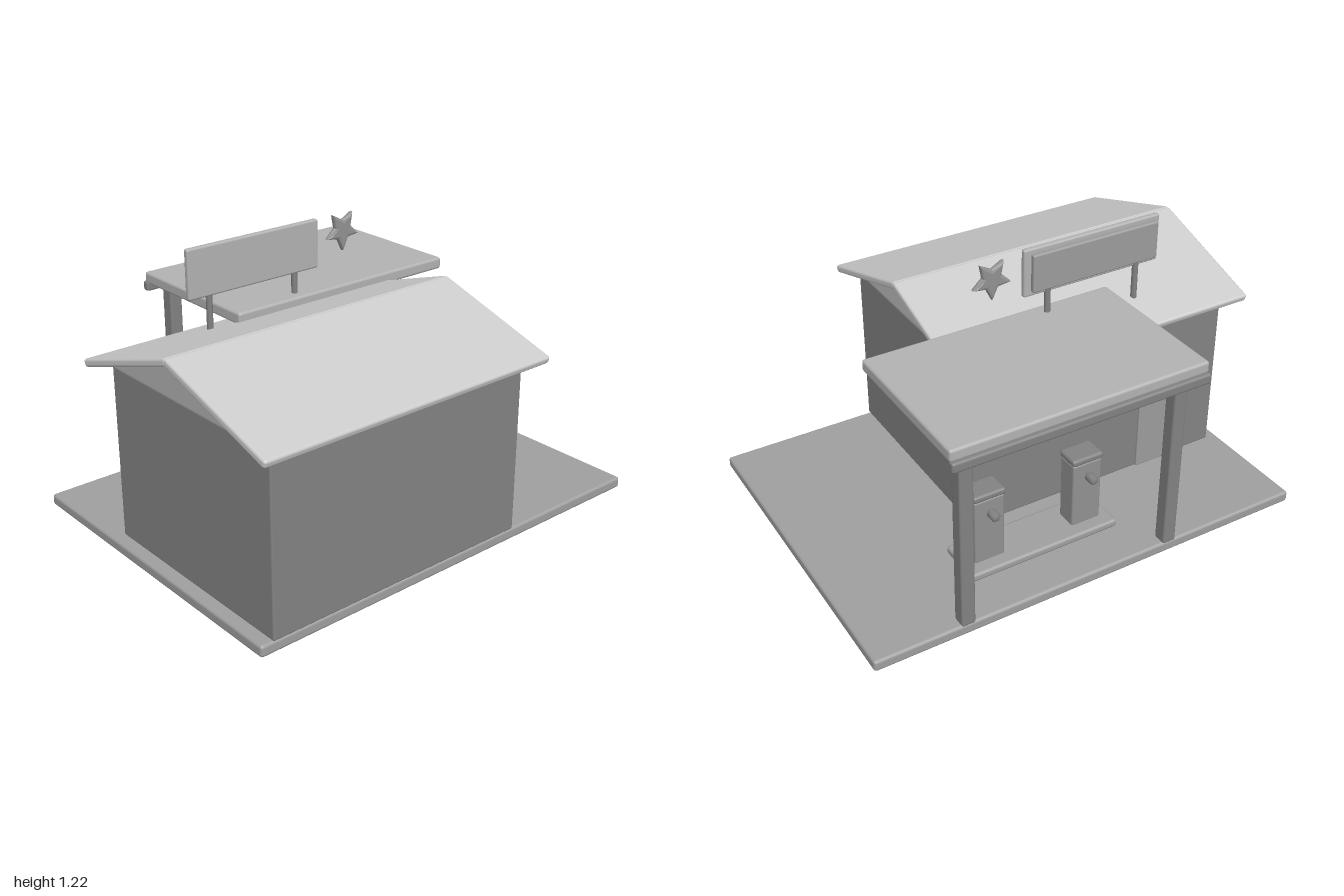
import * as THREE from 'three';
import { RoundedBoxGeometry } from 'three/addons/geometries/RoundedBoxGeometry.js';

const paint = (color) => new THREE.MeshStandardMaterial({ color });
const concrete = paint(0x9f9f9f);
const wall = paint(0x838383);
const roofing = paint(0xbcbcbc);
const canopyPaint = paint(0xb2b2b2);
const steel = paint(0x828282);
const joinery = paint(0x9c9c9c);
const pumpPaint = paint(0x929292);
const signPaint = paint(0xb2b2b2);

export function createModel() {
  const model = new THREE.Group();
  model.name = 'fuelStation';

  function add(name, material, geometry, x = 0, y = 0, z = 0) {
    const mesh = new THREE.Mesh(geometry, material);
    mesh.name = name;
    mesh.position.set(x, y, z);
    model.add(mesh);
    return mesh;
  }

  // Soft-edged box given by its extents on each axis
  function block(name, material, [x0, x1], [y0, y1], [z0, z1], bevel = 0.01) {
    const w = x1 - x0, h = y1 - y0, d = z1 - z0;
    const r = Math.min(bevel, Math.min(w, h, d) * 0.4);
    return add(name, material, new RoundedBoxGeometry(w, h, d, 2, r), (x0 + x1) / 2, (y0 + y1) / 2, (z0 + z1) / 2);
  }

  // Ground slab and building
  block('groundSlab', concrete, [-0.975, 1], [0, 0.05], [-0.745, 0.73], 0.013);
  block('building', wall, [-0.922, 0.305], [0.05, 0.79], [-0.25, 0.733], 0.008);

  // Two roof slopes meeting at the ridge, open at the gables
  const ridge = { y: 0.975, z: 0.24 }, run = 0.56, drop = 0.178;
  const slope = Math.atan2(drop, run), length = Math.hypot(run, drop) + 0.014;
  for (const side of [1, -1]) {
    const panel = add('roofSlope', roofing, new RoundedBoxGeometry(1.38, 0.034, length, 2, 0.012),
      -0.31, ridge.y - drop / 2, ridge.z + side * run / 2);
    panel.rotation.x = side * slope;
  }

  // Door and windows on the forecourt wall
  block('door', joinery, [-0.74, -0.52], [0.05, 0.61], [-0.26, -0.24], 0.006);
  block('window', joinery, [-0.455, -0.12], [0.38, 0.665], [-0.26, -0.24], 0.006);
  block('window', joinery, [0.0, 0.26], [0.38, 0.665], [-0.26, -0.24], 0.006);

  // Canopy with edge trim and two posts
  block('canopy', canopyPaint, [-0.42, 0.692], [0.866, 0.918], [-0.795, -0.11], 0.012);
  block('canopyTrim', steel, [-0.42, 0.692], [0.829, 0.873], [-0.813, -0.78]);
  for (const x of [-0.333, 0.605]) {
    block('canopyPost', steel, [x - 0.03, x + 0.03], [0.05, 0.875], [-0.752, -0.69]);
  }

  // Pump island
  block('pumpIsland', concrete, [-0.21, 0.478], [0.05, 0.087], [-0.558, -0.342], 0.013);

  // Pumps with cap and nozzle
  const nozzleProfile = [[0, -0.026], [0.013, -0.026], [0.02, -0.018], [0.02, 0.018], [0.013, 0.026], [0, 0.026]]
    .map(([r, y]) => new THREE.Vector2(r, y));
  for (const x of [-0.093, 0.364]) {
    block('pumpBody', pumpPaint, [x - 0.068, x + 0.068], [0.08, 0.384], [-0.497, -0.4]);
    block('pumpCap', steel, [x - 0.073, x + 0.073], [0.382, 0.413], [-0.502, -0.395], 0.012);
    const stem = add('nozzleStem', steel, new THREE.CylinderGeometry(0.009, 0.009, 0.04, 12), x, 0.323, -0.505);
    const nozzle = add('nozzle', steel, new THREE.LatheGeometry(nozzleProfile, 16), x, 0.323, -0.525);
    stem.rotation.x = nozzle.rotation.x = Math.PI / 2;
  }

  // Roof sign: board, raised panel and two poles
  block('signBoard', signPaint, [-0.63, 0.012], [1.008, 1.215], [-0.168, -0.142], 0.009);
  block('signPanel', joinery, [-0.61, -0.018], [1.03, 1.195], [-0.19, -0.165], 0.008);
  for (const x of [-0.522, -0.098]) {
    add('signPole', steel, new THREE.CylinderGeometry(0.013, 0.013, 0.2, 12), x, 0.93, -0.165);
  }

  // Five-pointed star, one point down, tapering to thin edges
  const star = new THREE.Shape();
  for (let i = 0; i < 10; i++) {
    const r = i % 2 ? 0.029 : 0.07, a = -Math.PI / 2 + i * Math.PI / 5;
    if (i) star.lineTo(r * Math.cos(a), r * Math.sin(a));
    else star.moveTo(r * Math.cos(a), r * Math.sin(a));
  }
  star.closePath();
  const starGeometry = new THREE.ExtrudeGeometry(star, {
    depth: 0.006, bevelEnabled: true, bevelThickness: 0.011, bevelSize: 0.013, bevelSegments: 2,
  });
  starGeometry.translate(0, 0, -0.003);
  add('star', pumpPaint, starGeometry, 0.16, 1.135, -0.168);

  return model;
}
